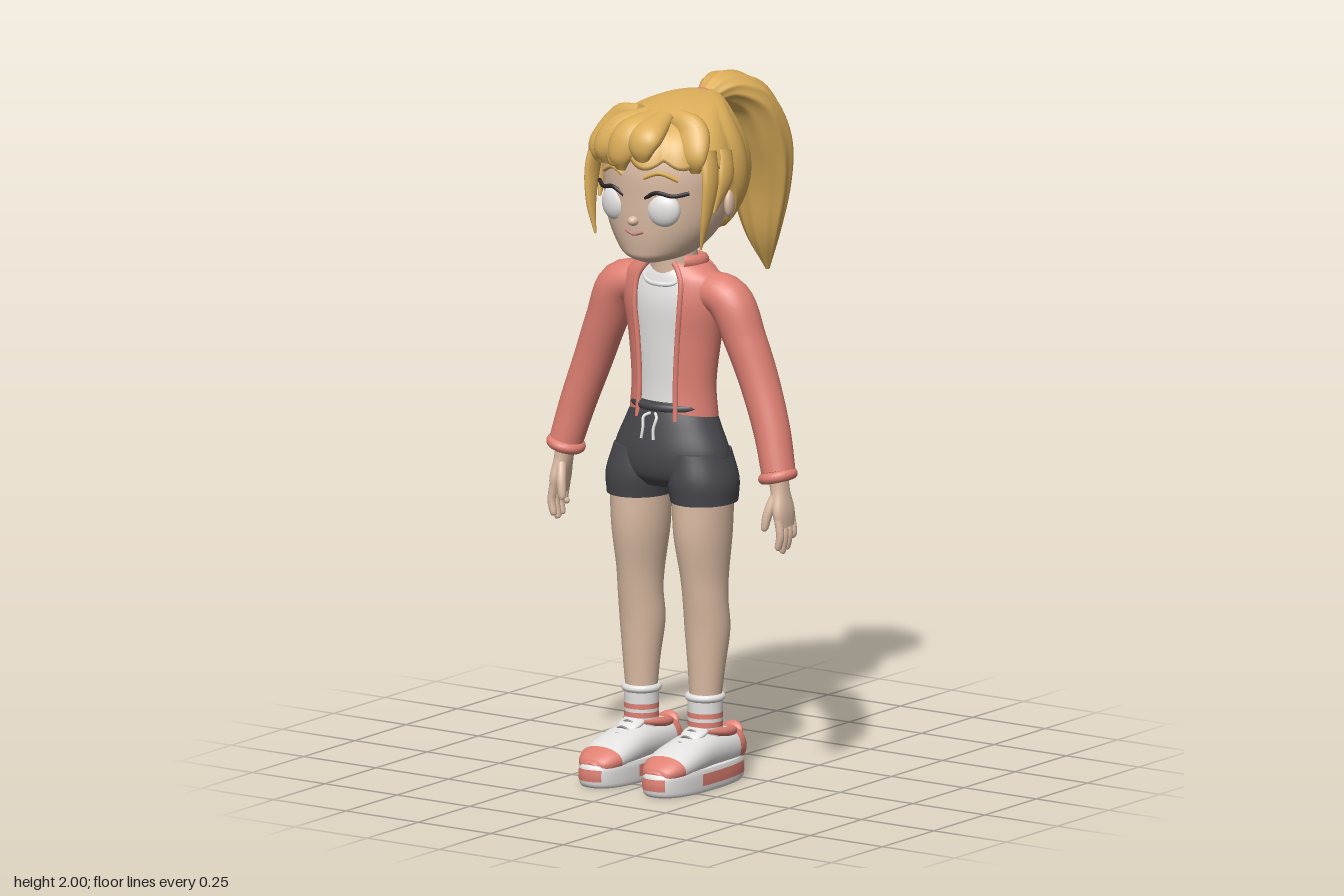
import * as THREE from 'three';

const mat = (name, color, side = THREE.FrontSide) => {
  const m = new THREE.MeshStandardMaterial({ color, side });
  m.name = name;
  return m;
};
const skin = mat('skin', 0xdcbca4);
const hair = mat('hair', 0xdcae5a, THREE.DoubleSide);
const coral = mat('coral', 0xdf8073, THREE.DoubleSide);
const dark = mat('charcoal', 0x47464c);
const white = mat('white', 0xe4e2e0);
const lash = mat('lash', 0x2c2528);
const lip = mat('lip', 0xc48a7c);
const grey = mat('grey', 0x8a888a);

const V = (x, y, z) => new THREE.Vector3(x, y, z);

// Skin a list of point rings into a smooth surface; bandOf gives the material index of a row
function skinRings(rings, wrap, bandOf) {
  const n = rings[0].length, idx = [], geo = new THREE.BufferGeometry();
  for (let i = 0; i < rings.length - 1; i++) {
    const start = idx.length;
    for (let j = 0; j < (wrap ? n : n - 1); j++) {
      const k = (j + 1) % n, a = i * n + j, b = i * n + k;
      idx.push(a, b, a + n, b, b + n, a + n);
    }
    if (bandOf) geo.addGroup(start, idx.length - start, bandOf(i));
  }
  geo.setFromPoints(rings.flat());
  geo.setIndex(idx);
  geo.computeVertexNormals();
  return geo;
}

// Loft ellipses through rows of [x, y, z, a, b]; a runs along `side`
function loft(rows, o = {}) {
  const { side = V(1, 0, 0), flat = false, seg = 6, n = 28, power = 2, groove = 0, lobes = 8,
    arc = null, caps = !arc, bands = null } = o;
  const path = new THREE.CatmullRomCurve3(rows.map(r => V(r[0], r[1], r[2])), false, 'catmullrom');
  const size = new THREE.CatmullRomCurve3(rows.map(r => V(r[3], r[4], 0)), false, 'catmullrom');
  const total = (rows.length - 1) * seg, rings = [];
  const bend = v => Math.sign(v) * Math.abs(v) ** (2 / power);
  for (let i = 0; i <= total; i++) {
    const c = path.getPoint(i / total), s = size.getPoint(i / total);
    const t = flat ? V(0, Math.sign(rows.at(-1)[1] - rows[0][1]), 0) : path.getTangent(i / total);
    const u = side.clone().addScaledVector(t, -side.dot(t)).normalize();
    const w = t.clone().cross(u);
    const ring = [];
    for (let j = 0; j < n; j++) {
      const p = arc ? arc[0] + (arc[1] - arc[0]) * j / (n - 1) : j / n * Math.PI * 2;
      const k = 1 - groove * Math.abs(Math.cos(p * lobes / 2));
      ring.push(c.clone().addScaledVector(u, s.x * k * bend(Math.cos(p))).addScaledVector(w, s.y * k * bend(Math.sin(p))));
    }
    rings.push(ring);
  }
  if (caps) {
    const close = (ring, c) => [ring.map(p => p.clone()), ring.map(() => c.clone())];
    const [a, b] = close(rings[0], path.getPoint(0)), [d, e] = close(rings.at(-1), path.getPoint(1));
    rings.unshift(b, a);
    rings.push(d, e);
  }
  const off = caps ? 2 : 0;
  return skinRings(rings, !arc, bands && (i =>
    bands[Math.min(bands.length - 1, Math.max(0, Math.floor((i - off) / seg)))]));
}

const tube = (pts, r, n = 16) =>
  new THREE.TubeGeometry(new THREE.CatmullRomCurve3(pts.map(p => V(...p))), n, r, 8);

// Hair cap: lobed dome whose lower edge rises from nape to fringe
function hairCap() {
  const rings = [], n = 160, rows = 24;
  for (let i = -1; i <= rows; i++) {
    const ring = [];
    for (let j = 0; j < n; j++) {
      const phi = j / n * Math.PI * 2, lobe = Math.abs(Math.sin(phi * 6));
      const edge = 1.605 + 0.22 * THREE.MathUtils.smoothstep(Math.cos(phi), -0.5, 0.35) - 0.025 * lobe;
      const th = Math.acos((edge - 1.76) / 0.205) * (1 - Math.max(i, 0) / rows);
      const s = Math.sin(th) ** 0.8 * (1 + 0.05 * (lobe - 0.6) * Math.sin(th)) * (i < 0 ? 0.82 : 1);
      const shift = 0.11 * Math.max(0, Math.cos(th)) ** 6;
      ring.push(V(0.213 * s * Math.sin(phi), 1.76 + 0.205 * Math.cos(th), 0.11 - shift + 0.228 * s * Math.cos(phi)));
    }
    rings.push(ring);
  }
  return skinRings(rings, true);
}

export function createModel() {
  const model = new THREE.Group();
  const add = (name, geo, material, pos, rot, scale) => {
    const m = new THREE.Mesh(geo, material);
    m.name = name;
    if (pos) m.position.set(...pos);
    if (rot) m.rotation.set(...rot);
    if (scale) m.scale.set(...scale);
    model.add(m);
    return m;
  };
  const ball = new THREE.SphereGeometry(1, 28, 20);
  const Z = V(0, 0, 1);

  // Head and neck
  add('head', loft([[0, 1.512, 0.2, 0.03, 0.045], [0, 1.53, 0.185, 0.085, 0.098], [0, 1.56, 0.165, 0.125, 0.128],
    [0, 1.62, 0.145, 0.165, 0.156], [0, 1.7, 0.135, 0.185, 0.17], [0, 1.8, 0.125, 0.19, 0.18],
    [0, 1.9, 0.12, 0.15, 0.15], [0, 1.94, 0.12, 0.06, 0.06]], { flat: true, n: 40 }), skin);
  add('neck', loft([[0, 1.42, 0.105, 0.085, 0.066], [0, 1.48, 0.105, 0.07, 0.068], [0, 1.57, 0.11, 0.068, 0.068]], { flat: true }), skin);
  add('nose', ball, skin, [0, 1.643, 0.304], null, [0.016, 0.014, 0.018]);
  add('mouth', tube([[-0.03, 1.613, 0.297], [0, 1.605, 0.303], [0.03, 1.613, 0.297]], 0.005), lip);
  for (const s of [1, -1]) {
    add('eye', ball, white, [s * 0.085, 1.68, 0.275], [0, s * 0.3, 0], [0.049, 0.049, 0.026]);
    add('lashes', tube([[s * 0.036, 1.712, 0.297], [s * 0.075, 1.732, 0.298], [s * 0.12, 1.724, 0.28], [s * 0.155, 1.732, 0.25]], 0.006), lash);
    add('eyebrow', tube([[s * 0.035, 1.772, 0.302], [s * 0.08, 1.788, 0.29], [s * 0.128, 1.768, 0.264]], 0.007), hair);
    add('ear', ball, skin, [s * 0.188, 1.68, 0.1], [0, s * 0.3, 0], [0.014, 0.04, 0.026]);
  }

  // Hair: cap, fringe locks, temple strands and ponytail
  add('hairCap', hairCap(), hair);
  for (const [x, y, z] of [[-0.165, 1.79, 0.225], [-0.105, 1.805, 0.285], [-0.035, 1.8, 0.315], [0.04, 1.825, 0.318], [0.16, 1.8, 0.235]])
    add('fringeLock', loft([[0.02 + x * 0.35, 1.93, 0.2, 0.03, 0.02], [0.01 + x * 0.75, 1.895, z - 0.03, 0.052, 0.034],
      [x, y + 0.035, z, 0.044, 0.026], [x * 1.03, y - 0.012, z - 0.002, 0.014, 0.008]], { n: 20 }), hair);
  for (const s of [1, -1]) {
    add('templeStrand', loft([[s * 0.185, 1.85, 0.2, 0.03, 0.02], [s * 0.203, 1.76, 0.215, 0.034, 0.015],
      [s * 0.198, 1.66, 0.23, 0.02, 0.011], [s * 0.182, 1.57, 0.232, 0.003, 0.003]], { side: Z, n: 16 }), hair);
    add('sideStrand', loft([[s * 0.19, 1.84, 0.13, 0.03, 0.018], [s * 0.208, 1.76, 0.15, 0.032, 0.014],
      [s * 0.197, 1.67, 0.19, 0.004, 0.004]], { side: Z, n: 16 }), hair);
  }
  add('ponytail', loft([[0, 1.91, -0.02, 0.03, 0.03], [0, 1.935, -0.06, 0.036, 0.034], [0, 1.95, -0.13, 0.072, 0.048],
    [0, 1.9, -0.22, 0.112, 0.068], [0, 1.78, -0.285, 0.123, 0.076], [0, 1.65, -0.312, 0.105, 0.057],
    [0, 1.5, -0.325, 0.06, 0.035], [0, 1.385, -0.352, 0.006, 0.006]], { n: 72, groove: 0.07, lobes: 9.99 > 9 ? 10 : 8 }), hair);
  add('hairTie', new THREE.TorusGeometry(0.031, 0.014, 12, 28), coral, [0, 1.925, -0.045], [0.4, 0, 0]);

  // Shirt
  add('shirt', loft([[0, 1.07, 0.105, 0.122, 0.087], [0, 1.15, 0.105, 0.118, 0.083], [0, 1.28, 0.1, 0.133, 0.09],
    [0, 1.38, 0.1, 0.15, 0.091], [0, 1.45, 0.1, 0.135, 0.078], [0, 1.485, 0.1, 0.085, 0.066]], { flat: true, n: 36 }), white);
  add('neckline', tube([[-0.07, 1.475, 0.15], [-0.05, 1.445, 0.17], [0, 1.438, 0.182], [0.05, 1.445, 0.17], [0.07, 1.475, 0.15]], 0.007), white);

  // Open jacket with front edges, collar and hood
  const jacket = [[0, 1.05, 0.105, 0.138, 0.097], [0, 1.15, 0.105, 0.132, 0.092], [0, 1.28, 0.1, 0.146, 0.098],
    [0, 1.38, 0.1, 0.165, 0.1], [0, 1.45, 0.1, 0.16, 0.089], [0, 1.485, 0.1, 0.12, 0.078], [0, 1.5, 0.1, 0.088, 0.072]];
  const gap = 0.49;
  add('jacketBody', loft(jacket, { flat: true, n: 48, arc: [Math.PI * 1.5 + gap, Math.PI * 3.5 - gap] }), coral);
  for (const s of [1, -1])
    add('jacketEdge', tube(jacket.map(r => [s * r[3] * Math.sin(gap), r[1], r[2] + r[4] * Math.cos(gap)]), 0.008, 32), coral);
  add('collar', new THREE.TorusGeometry(0.084, 0.016, 12, 40, Math.PI * 2 - 1.7).rotateZ(Math.PI / 2 + 0.85).rotateX(Math.PI / 2),
    coral, [0, 1.5, 0.1], [-0.1, 0, 0], [1, 1.2, 0.9]);
  add('hood', ball, coral, [0, 1.415, 0.008], [0.12, 0, 0], [0.098, 0.09, 0.026]);

  // Shorts
  add('shortsHips', loft([[0, 1.1, 0.105, 0.118, 0.09], [0, 1.03, 0.11, 0.15, 0.102], [0, 0.95, 0.112, 0.183, 0.113],
    [0, 0.89, 0.112, 0.17, 0.105], [0, 0.855, 0.11, 0.1, 0.08]], { flat: true, n: 40 }), dark);
  add('waistband', new THREE.TorusGeometry(1, 0.09, 10, 40).rotateX(Math.PI / 2), dark, [0, 1.085, 0.106], null, [0.12, 0.13, 0.093]);

  for (const s of [1, -1]) {
    const x = s * 0.11;
    add('drawstring', tube([[s * 0.008, 1.07, 0.208], [s * 0.022, 1.06, 0.222], [s * 0.018, 1.03, 0.232], [s * 0.021, 1.0, 0.236]], 0.0045), white);
    add('shortsLeg', loft([[s * 0.095, 0.96, 0.111, 0.083, 0.1], [s * 0.105, 0.88, 0.112, 0.099, 0.11],
      [x, 0.815, 0.112, 0.092, 0.104]], { flat: true }), dark);

    // Leg and striped sock
    add('leg', loft([[s * 0.107, 0.84, 0.115, 0.084, 0.098], [s * 0.107, 0.72, 0.115, 0.078, 0.095], [x, 0.6, 0.112, 0.065, 0.077],
      [s * 0.112, 0.53, 0.11, 0.063, 0.068], [s * 0.112, 0.44, 0.1, 0.064, 0.066], [s * 0.112, 0.33, 0.105, 0.053, 0.053],
      [x, 0.22, 0.108, 0.043, 0.044]], { flat: true }), skin);
    add('sock', loft([0.11, 0.165, 0.18, 0.19, 0.205, 0.215, 0.24].map(y => [x, y, 0.108, 0.05, 0.049]),
      { flat: true, seg: 2, bands: [0, 1, 0, 1, 0, 0] }), [white, coral]);
    add('sockCuff', new THREE.TorusGeometry(0.047, 0.011, 10, 28).rotateX(Math.PI / 2), white, [x, 0.248, 0.108]);

    // Shoe: sole with inset stripes, upper with heel and toe patches, collar, laces
    const soleRow = (y, k) => [x, y, 0.165, 0.082 * k, 0.205 * k];
    add('sole', loft([soleRow(0, 0.95), soleRow(0.012, 0.99), soleRow(0.05, 1), soleRow(0.066, 0.96)],
      { flat: true, n: 40, power: 2.5, seg: 3 }), white);
    for (const [a, b] of [[-0.25, 0.75], [Math.PI - 0.75, Math.PI + 0.25], [Math.PI * 1.5 - 0.4, Math.PI * 1.5 + 0.4]])
      add('soleStripe', loft([soleRow(0.02, 1.012), soleRow(0.036, 1.02), soleRow(0.054, 1.012)],
        { flat: true, power: 2.5, arc: [a, b], n: 16, seg: 3 }), coral);
    add('shoeUpper', loft([[x, 0.1, -0.036, 0.028, 0.03], [x, 0.095, -0.015, 0.056, 0.048], [x, 0.092, 0.025, 0.066, 0.055],
      [x, 0.095, 0.09, 0.069, 0.057], [x, 0.095, 0.16, 0.071, 0.056], [x, 0.085, 0.24, 0.075, 0.048],
      [x, 0.073, 0.3, 0.07, 0.038], [x, 0.062, 0.345, 0.048, 0.024], [x, 0.06, 0.36, 0.02, 0.01]],
    { power: 2.2, bands: [1, 1, 0, 0, 0, 0, 1, 1] }), [white, coral]);
    add('heelTab', ball, coral, [x, 0.125, -0.022], [-0.4, 0, 0], [0.036, 0.03, 0.014]);
    add('shoeCollar', new THREE.TorusGeometry(0.052, 0.013, 10, 28).rotateX(Math.PI / 2), coral, [x, 0.146, 0.075], [-0.15, 0, 0], [1, 1, 1.3]);
    add('tongue', ball, white, [x, 0.15, 0.16], [0.35, 0, 0], [0.038, 0.014, 0.05]);
    for (let i = 0; i < 3; i++)
      add('lace', tube([[x - 0.04, 0.136 - i * 0.012, 0.17 + i * 0.028], [x, 0.16 - i * 0.013, 0.174 + i * 0.028],
        [x + 0.04, 0.136 - i * 0.012, 0.17 + i * 0.028]], 0.004), grey);

    // Sleeve and cuff
    add('sleeve', loft([[s * 0.08, 1.425, 0.1, 0.055, 0.05], [s * 0.185, 1.402, 0.1, 0.066, 0.064], [s * 0.24, 1.29, 0.095, 0.061, 0.06],
      [s * 0.288, 1.17, 0.092, 0.057, 0.056], [s * 0.335, 1.04, 0.1, 0.053, 0.052], [s * 0.366, 0.93, 0.113, 0.05, 0.048]], { side: Z }), coral);
    add('cuff', new THREE.TorusGeometry(0.041, 0.016, 12, 28).rotateX(Math.PI / 2), coral, [s * 0.366, 0.918, 0.115], [0, 0, s * 0.25]);

    // Hand with fingers and thumb
    add('palm', loft([[s * 0.366, 0.93, 0.115, 0.03, 0.026], [s * 0.374, 0.875, 0.115, 0.031, 0.024],
      [s * 0.385, 0.82, 0.115, 0.043, 0.021], [s * 0.39, 0.775, 0.113, 0.038, 0.015]], { side: Z, power: 2.3 }), skin);
    [0.735, 0.708, 0.7, 0.712].forEach((tip, i) => {
      const z = 0.082 + i * 0.021;
      add('finger', loft([[s * 0.388, 0.8, z, 0.012, 0.012], [s * 0.395, 0.755, z, 0.0115, 0.0115],
        [s * 0.388, tip + 0.008, z, 0.01, 0.01], [s * 0.386, tip, z, 0.005, 0.005]], { side: Z, n: 12, seg: 4 }), skin);
    });
    add('thumb', loft([[s * 0.37, 0.87, 0.13, 0.014, 0.014], [s * 0.358, 0.82, 0.15, 0.014, 0.014],
      [s * 0.35, 0.775, 0.157, 0.011, 0.011], [s * 0.349, 0.765, 0.157, 0.005, 0.005]], { side: Z, n: 12, seg: 4 }), skin);
  }
  return model;
}
